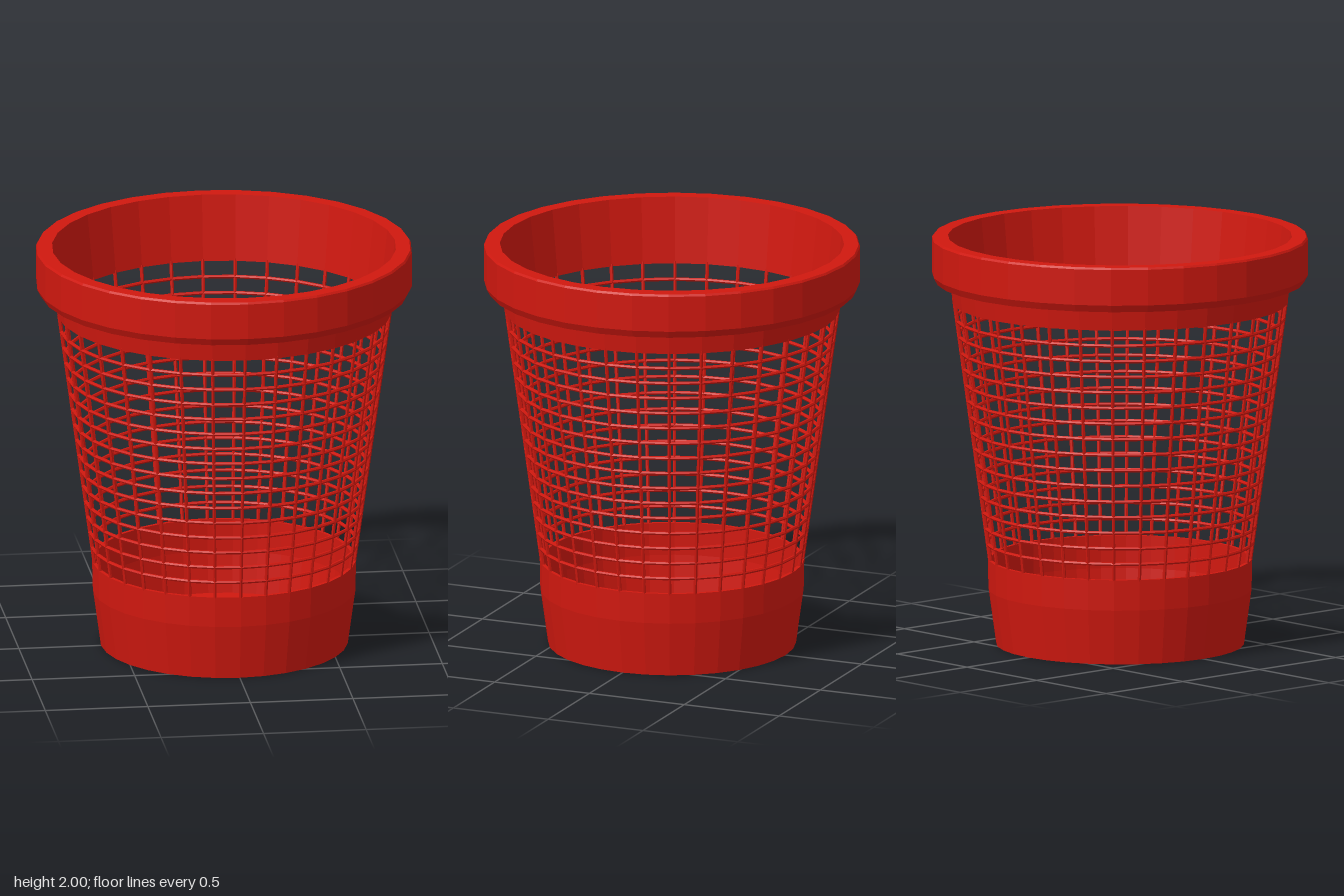
import * as THREE from 'three';

const SIDES = 32;
const MESH_LOW = 0.42, MESH_HIGH = 1.675;

export function createModel() {
  const basket = new THREE.Group();
  basket.name = 'wasteBasket';
  const red = new THREE.MeshStandardMaterial({ color: 0xd0180f, flatShading: true });

  const add = (name, geometry, parent = basket) => {
    const mesh = new THREE.Mesh(geometry, red);
    mesh.name = name;
    parent.add(mesh);
    return mesh;
  };
  // Profiles run up the outside and down the inside
  const lathe = (points) =>
    new THREE.LatheGeometry(points.map(([r, y]) => new THREE.Vector2(r, y)), SIDES);

  // Solid lower wall with a short upright collar
  add('baseWall', lathe([
    [0.588, 0], [0.6, 0], [0.637, 0.27], [0.64, 0.42],
    [0.622, 0.42], [0.62, 0.26], [0.588, 0],
  ]));

  // Floor, slightly recessed above the foot
  add('floor', lathe([[0, 0.035], [0.595, 0.035], [0.597, 0.055], [0, 0.055]]));

  // Upper band and thick overhanging rim
  add('rim', lathe([
    [0.797, MESH_HIGH], [0.811, MESH_HIGH], [0.824, 1.78], [0.892, 1.78],
    [0.91, 1.815], [0.91, 1.99], [0.903, 2], [0.833, 2], [0.797, MESH_HIGH],
  ]));

  // Centre radius of the tapering lattice at a height
  const radiusAt = (y) =>
    THREE.MathUtils.mapLinear(y, MESH_LOW, MESH_HIGH, 0.632, 0.803);

  // Horizontal lattice rings
  const rings = new THREE.Group();
  rings.name = 'latticeRings';
  basket.add(rings);
  for (let i = 1; i < 16; i++) {
    const y = THREE.MathUtils.lerp(MESH_LOW, MESH_HIGH, i / 16);
    const ring = new THREE.TorusGeometry(radiusAt(y), 0.009, 6, SIDES);
    ring.rotateX(Math.PI / 2);
    ring.translate(0, y, 0);
    add('latticeRing', ring, rings);
  }

  // Leaning upright ribs
  const ribs = new THREE.Group();
  ribs.name = 'latticeRibs';
  basket.add(ribs);
  const low = MESH_LOW - 0.01, high = MESH_HIGH + 0.01;
  const rise = high - low, lean = radiusAt(high) - radiusAt(low);
  const rib = new THREE.CylinderGeometry(0.009, 0.009, Math.hypot(rise, lean), 6);
  rib.rotateX(Math.atan2(lean, rise));
  rib.translate(0, (low + high) / 2, (radiusAt(low) + radiusAt(high)) / 2);
  for (let i = 0; i < SIDES; i++) {
    add('latticeRib', rib, ribs).rotation.y = (i / SIDES) * Math.PI * 2;
  }

  return basket;
}
